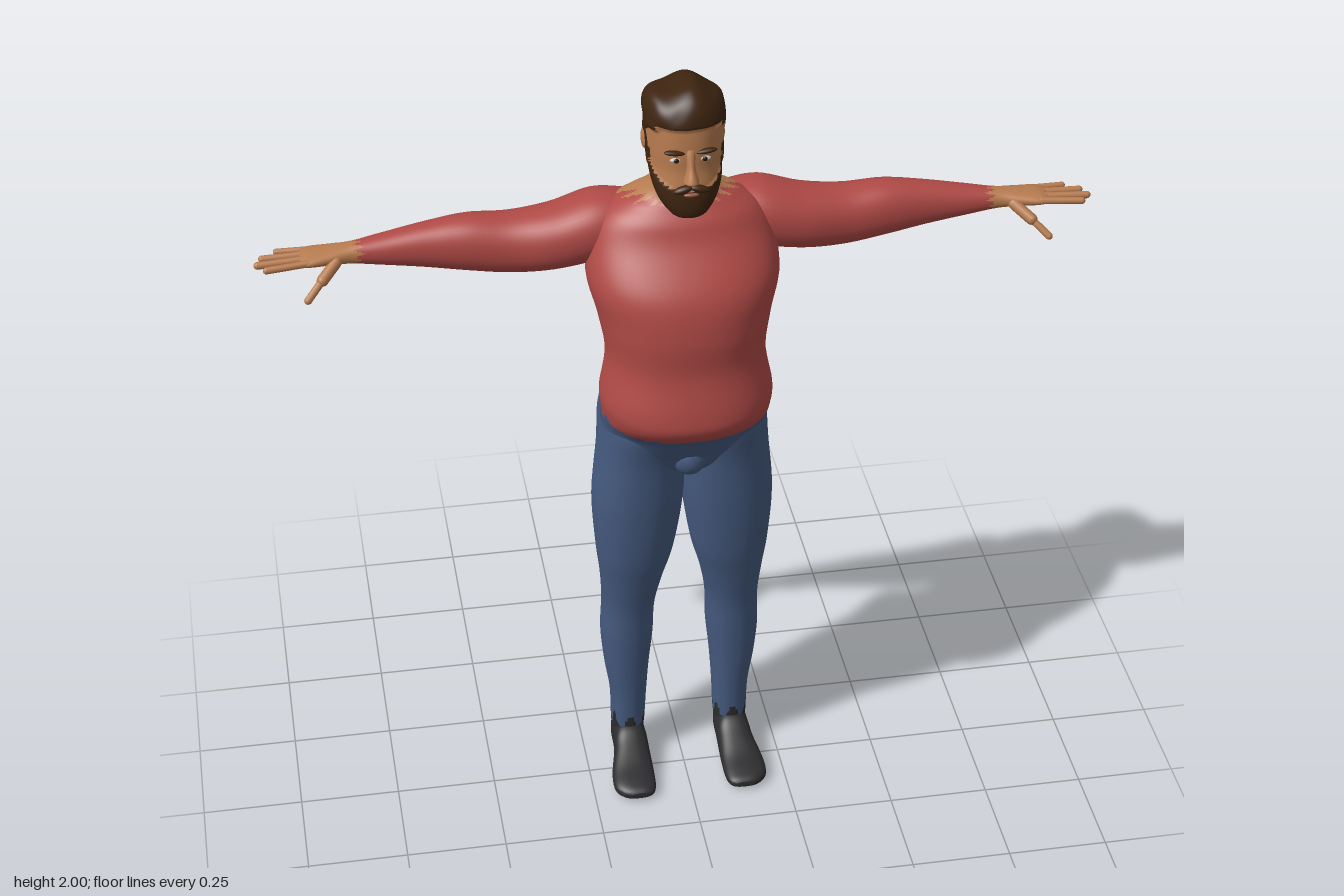
import * as THREE from 'three';

const mat = (name, color) => {
  const m = new THREE.MeshStandardMaterial({ color });
  m.name = name;
  return m;
};

// Axis orders that map (t along the loft, u, v) to x, y, z with outward winding
const ALONG_Y = (t, u, v) => [v, t, u]; // u = z, v = x
const ALONG_X = (t, u, v) => [t, u, v]; // u = y, v = z
const ALONG_Z = (t, u, v) => [u, v, t]; // u = x, v = y

const spline = (a, b, c, d, f) =>
  b + 0.5 * f * (c - a + f * (2 * a - 5 * b + 4 * c - d + f * (3 * (b - c) + d - a)));
const zigzag = (s) => Math.abs((((s % 1) + 1) % 1) * 2 - 1) - 0.5;

// Smooth closed loft through rounded sections [t, u0, u1, v0, v1].
// pick(x, y, z) chooses the material of each face, shape(p) nudges each vertex.
function loft(sections, axis, { segs = 40, steps = 5, n = 2.2, side = 1, count = 1, pick = () => 0, shape = (p) => p } = {}) {
  const rows = [];
  const at = (i) => sections[Math.min(Math.max(i, 0), sections.length - 1)];
  for (let i = 0; i < sections.length - 1; i++)
    for (let k = 0; k < steps; k++)
      rows.push(at(i).map((b, j) => spline(at(i - 1)[j], b, at(i + 1)[j], at(i + 2)[j], k / steps)));
  rows.push(at(sections.length));
  const pts = [];
  const power = (c) => Math.sign(c) * Math.abs(c) ** (2 / n);
  const add = (t, u, v) => pts.push(shape(axis(t, u, v)));
  for (const [t, u0, u1, v0, v1] of rows)
    for (let j = 0; j < segs; j++) {
      const a = (j / segs) * Math.PI * 2;
      add(t, (u0 + u1) / 2 + ((u1 - u0) / 2) * power(Math.cos(a)), (v0 + v1) / 2 + ((v1 - v0) / 2) * power(Math.sin(a)));
    }
  for (const [t, u0, u1, v0, v1] of [rows[0], rows[rows.length - 1]]) add(t, (u0 + u1) / 2, (v0 + v1) / 2);

  const buckets = Array.from({ length: count }, () => []);
  const face = (a, b, c) => {
    const mid = [0, 1, 2].map((k) => (pts[a][k] + pts[b][k] + pts[c][k]) / 3);
    buckets[pick(...mid)].push(...(side > 0 ? [a, b, c] : [a, c, b]));
  };
  const last = rows.length - 1, cap = rows.length * segs;
  for (let j = 0; j < segs; j++) {
    const k = (j + 1) % segs;
    for (let r = 0; r < last; r++) {
      const a = r * segs + j, b = r * segs + k;
      face(a, b, b + segs);
      face(a, b + segs, a + segs);
    }
    face(cap, k, j);
    face(cap + 1, last * segs + j, last * segs + k);
  }
  const g = new THREE.BufferGeometry();
  g.setAttribute('position', new THREE.Float32BufferAttribute(pts.flatMap((p) => [p[0] * side, p[1], p[2]]), 3));
  g.setIndex(buckets.flat());
  let start = 0;
  buckets.forEach((b, i) => { g.addGroup(start, b.length, i); start += b.length; });
  g.computeVertexNormals();
  return g;
}

export function createModel() {
  const group = new THREE.Group();
  const shirt = mat('shirt red', 0xb04a46);
  const trousers = mat('trouser blue', 0x465b80);
  const skin = mat('skin', 0xb87c50);
  const hair = mat('hair brown', 0x3e2410);
  const shoe = mat('shoe black', 0x2d2d2f);
  const white = mat('eye white', 0xc9c0b4);
  const dark = mat('iris brown', 0x24160d);
  const lips = mat('lip', 0x9a5a45);

  const add = (name, geometry, material) => {
    const m = new THREE.Mesh(geometry, material);
    m.name = name;
    group.add(m);
    return m;
  };
  const blob = (name, material, pos, scale, roll = 0) => {
    const m = add(name, new THREE.SphereGeometry(1, 20, 14), material);
    m.position.set(...pos);
    m.scale.set(...scale);
    m.rotation.z = roll;
  };
  const limb = (name, a, b, r) => {
    const p = new THREE.Vector3(...a), q = new THREE.Vector3(...b), d = q.clone().sub(p);
    const m = add(name, new THREE.CapsuleGeometry(r, d.length() - r, 5, 12), skin);
    m.position.copy(p).lerp(q, 0.5);
    m.quaternion.setFromUnitVectors(new THREE.Vector3(0, 1, 0), d.normalize());
  };
  const upright = (list) => list.map(([y, z0, z1, w]) => [y, z0, z1, -w, w]);

  // Torso: trousers below a ragged hem, bare neck above the collar
  const torso = upright([
    [0.94, -0.1, 0.02, 0.06], [0.98, -0.125, 0.08, 0.15], [1.04, -0.15, 0.115, 0.2], [1.1, -0.165, 0.15, 0.204],
    [1.15, -0.162, 0.193, 0.206], [1.2, -0.142, 0.195, 0.208], [1.3, -0.138, 0.175, 0.192], [1.4, -0.178, 0.176, 0.207],
    [1.5, -0.195, 0.155, 0.23], [1.6, -0.183, 0.085, 0.215], [1.65, -0.165, 0.06, 0.185], [1.68, -0.142, 0.038, 0.14],
    [1.7, -0.125, 0.026, 0.1], [1.73, -0.105, 0.028, 0.07], [1.78, -0.098, 0.028, 0.058], [1.83, -0.09, 0.028, 0.055],
  ]);
  add('torso', loft(torso, ALONG_Y, {
    segs: 64, steps: 7, count: 3,
    pick: (x, y, z) => {
      const tooth = zigzag(Math.atan2(x, z) * 4);
      if (y > 1.695 + Math.min(0, z + 0.03) * 0.4 + 0.02 * tooth) return 2;
      return y < 1.155 - z * 0.25 + (z < 0.08 ? 0.03 : 0.006) * tooth ? 1 : 0;
    },
  }), [shirt, trousers, skin]);
  blob('trouser front', trousers, [0, 1.02, 0.075], [0.045, 0.05, 0.045]);

  // Limbs, mirrored
  const arm = [
    [0.12, 1.53, 1.67, -0.165, -0.015], [0.2, 1.51, 1.675, -0.18, 0], [0.3, 1.495, 1.648, -0.17, -0.003],
    [0.4, 1.49, 1.635, -0.163, -0.02], [0.5, 1.503, 1.64, -0.153, -0.03], [0.6, 1.52, 1.627, -0.14, -0.043],
    [0.7, 1.537, 1.61, -0.125, -0.05], [0.77, 1.55, 1.6, -0.11, -0.052], [0.82, 1.556, 1.595, -0.114, -0.042],
    [0.87, 1.561, 1.59, -0.118, -0.032], [0.893, 1.566, 1.584, -0.112, -0.036],
  ];
  const leg = [
    [0.04, -0.13, -0.04, 0.1, 0.175], [0.1, -0.14, -0.035, 0.092, 0.178], [0.2, -0.14, -0.025, 0.087, 0.181],
    [0.3, -0.15, -0.012, 0.08, 0.195], [0.4, -0.157, 0, 0.07, 0.203], [0.5, -0.152, 0.012, 0.066, 0.2],
    [0.6, -0.132, 0.035, 0.048, 0.206], [0.7, -0.135, 0.06, 0.022, 0.217], [0.85, -0.145, 0.083, 0, 0.225],
    [1, -0.152, 0.1, -0.005, 0.212], [1.1, -0.182, 0.12, 0, 0.204], [1.15, -0.15, 0.11, 0.03, 0.185],
  ];
  const foot = [
    [-0.15, 0.125, 0.155, 0.02, 0.055], [-0.135, 0.105, 0.17, 0.004, 0.08], [-0.1, 0.095, 0.178, 0, 0.1],
    [-0.04, 0.092, 0.18, 0, 0.105], [0, 0.091, 0.185, 0, 0.083], [0.06, 0.09, 0.198, 0, 0.055],
    [0.11, 0.092, 0.198, 0, 0.042], [0.135, 0.1, 0.18, 0.004, 0.034], [0.145, 0.115, 0.16, 0.012, 0.026],
  ];
  const fingers = [
    [-0.107, 0.952, -0.113, 0.0075], [-0.085, 0.988, -0.085, 0.0085],
    [-0.063, 1, -0.056, 0.009], [-0.042, 0.98, -0.03, 0.0085],
  ];
  for (const [label, side] of [['left', 1], ['right', -1]]) {
    add(label + 'Arm', loft(arm, ALONG_X, {
      side, count: 2, steps: 6,
      pick: (x, y, z) => (x > 0.755 + 0.025 * zigzag(Math.atan2(y - 1.575, z + 0.08) * 1.6) ? 1 : 0),
    }), [shirt, skin]);
    add(label + 'Leg', loft(leg, ALONG_Y, {
      side, count: 2, steps: 8,
      pick: (x, y, z) => (y < 0.115 + 0.06 * zigzag(Math.atan2(x - 0.135, z + 0.09) * 1.11) ? 1 : 0),
    }), [trousers, shoe]);
    add(label + 'Foot', loft(foot, ALONG_Z, { side, n: 2.5 }), shoe);

    for (const [z0, x, z1, r] of fingers) limb(label + 'Finger', [side * 0.87, 1.577, z0], [side * (x - r / 2), 1.574, z1], r);
    limb(label + 'ThumbBase', [side * 0.805, 1.573, -0.055], [side * 0.85, 1.54, -0.012], 0.014);
    limb(label + 'ThumbTip', [side * 0.845, 1.544, -0.017], [side * 0.886, 1.507, 0.015], 0.009);

    // Face details
    blob(label + 'Ear', skin, [side * 0.087, 1.852, -0.016], [0.011, 0.03, 0.019]);
    blob(label + 'Eye', white, [side * 0.034, 1.842, 0.089], [0.014, 0.006, 0.006]);
    blob(label + 'Iris', dark, [side * 0.033, 1.842, 0.093], [0.006, 0.006, 0.004]);
    blob(label + 'Eyebrow', hair, [side * 0.037, 1.862, 0.092], [0.025, 0.006, 0.009], side * 0.12);
    blob(label + 'Moustache', hair, [side * 0.019, 1.772, 0.104], [0.024, 0.009, 0.011], side * -0.25);
  }

  // Head with swept hair and full beard
  const isHair = (y, z) => {
    const line = z > 0.06 ? 1.918 : z > 0.025 ? 1.9 : z > 0 ? 1.8 : z > -0.04 ? 1.875 : 1.825;
    return y > line;
  };
  const isBeard = (y, z) => z > 0 && y < 1.772 + (0.09 - z) * 0.6;
  const head = upright([
    [1.69, 0.055, 0.09, 0.025], [1.7, 0.025, 0.1, 0.043], [1.73, -0.02, 0.104, 0.066], [1.77, -0.05, 0.101, 0.079],
    [1.81, -0.085, 0.095, 0.083], [1.85, -0.097, 0.095, 0.086], [1.9, -0.102, 0.092, 0.088], [1.94, -0.1, 0.085, 0.088],
    [1.965, -0.085, 0.07, 0.075], [1.98, -0.055, 0.045, 0.05], [1.984, -0.02, 0.015, 0.02],
  ]);
  add('head', loft(head, ALONG_Y, {
    segs: 80, steps: 7, count: 2,
    pick: (x, y, z) => (isHair(y, z) || isBeard(y, z) ? 1 : 0),
    shape: ([x, y, z]) => {
      if (isHair(y, z)) {
        const wave = 1.07 + 0.025 * Math.sin(x * 75 + z * 40) * Math.sin(y * 70);
        return [x * wave, y + Math.max(0, y - 1.93) * (0.1 + 0.15 * Math.sin(x * 60 + 0.8)), z * Math.min(wave, 1.07)];
      }
      return isBeard(y, z) ? [x * 1.04, y, z * 1.03] : [x, y, z];
    },
  }), [skin, hair]);
  add('nose', loft(upright([
    [1.782, 0.08, 0.108, 0.01], [1.791, 0.08, 0.126, 0.018], [1.8, 0.08, 0.126, 0.016],
    [1.825, 0.08, 0.113, 0.01], [1.855, 0.08, 0.101, 0.011], [1.87, 0.08, 0.093, 0.012],
  ]), ALONG_Y, { segs: 24, n: 2 }), skin);
  blob('lowerLip', lips, [0, 1.757, 0.104], [0.018, 0.005, 0.006]);
  return group;
}
